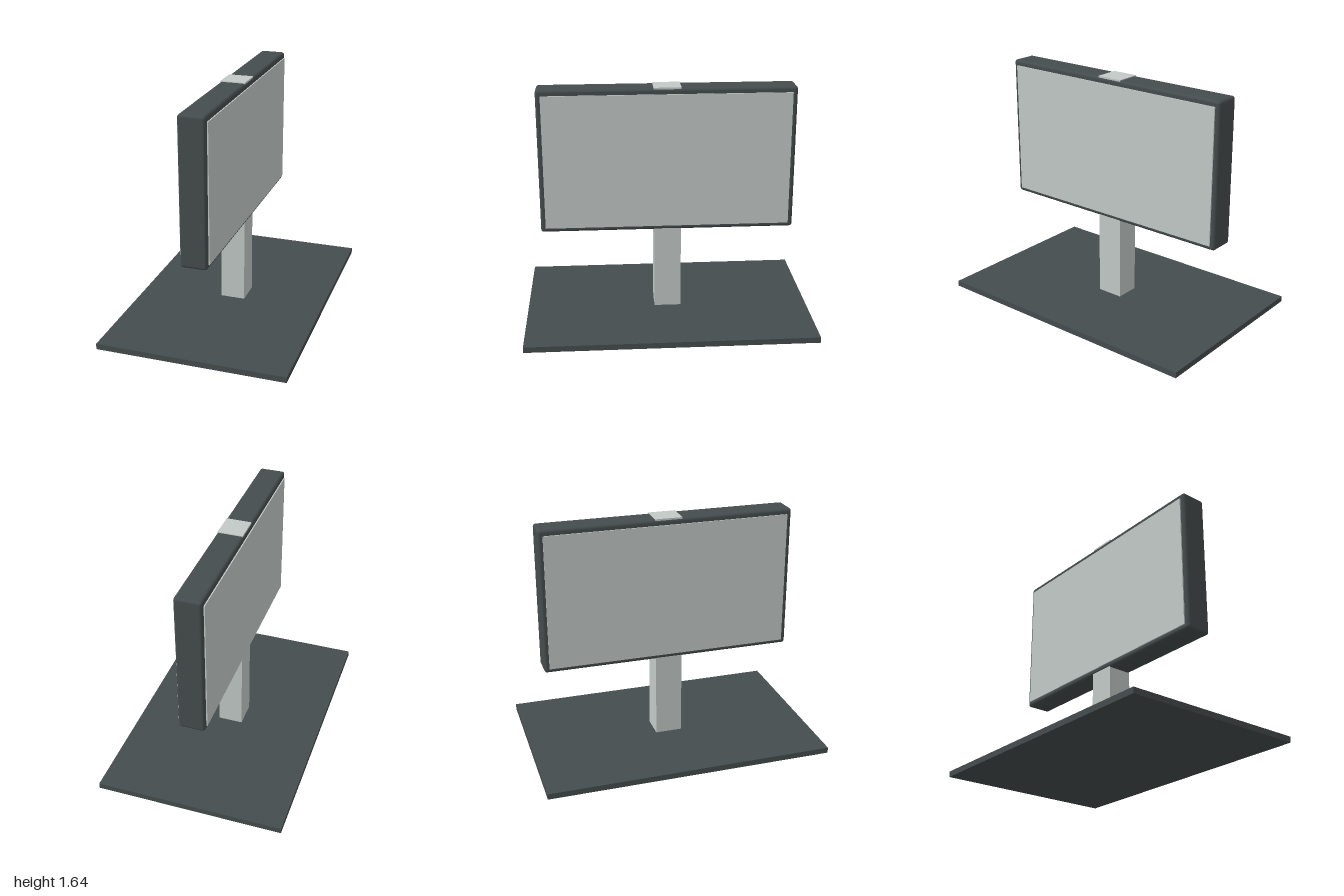
import * as THREE from 'three';
import { RoundedBoxGeometry } from 'three/addons/geometries/RoundedBoxGeometry.js';

export function createModel() {
  const group = new THREE.Group();
  const dark = new THREE.MeshStandardMaterial({ color: 0x454c4d });
  const pale = new THREE.MeshStandardMaterial({ color: 0xc2c9c6 });

  const add = (name, geometry, material, x, y) => {
    const mesh = new THREE.Mesh(geometry, material);
    mesh.name = name;
    mesh.position.set(x, y, 0);
    group.add(mesh);
  };

  // Flat base plate and square post that runs up through the housing
  add('base', new THREE.BoxGeometry(1.306, 0.04, 2), dark, 0, 0.02);
  add('post', new THREE.BoxGeometry(0.172, 1.605, 0.188), pale, 0, 0.8425);

  // Display housing with softly rounded edges
  add('housing', new RoundedBoxGeometry(0.182, 1.01, 1.766, 3, 0.02), dark, 0, 1.135);

  // One thin panel on each broad side
  for (const side of [1, -1]) {
    add(side > 0 ? 'leftPanel' : 'rightPanel',
      new THREE.BoxGeometry(0.012, 0.94, 1.7), pale, side * 0.093, 1.131);
  }
  return group;
}
